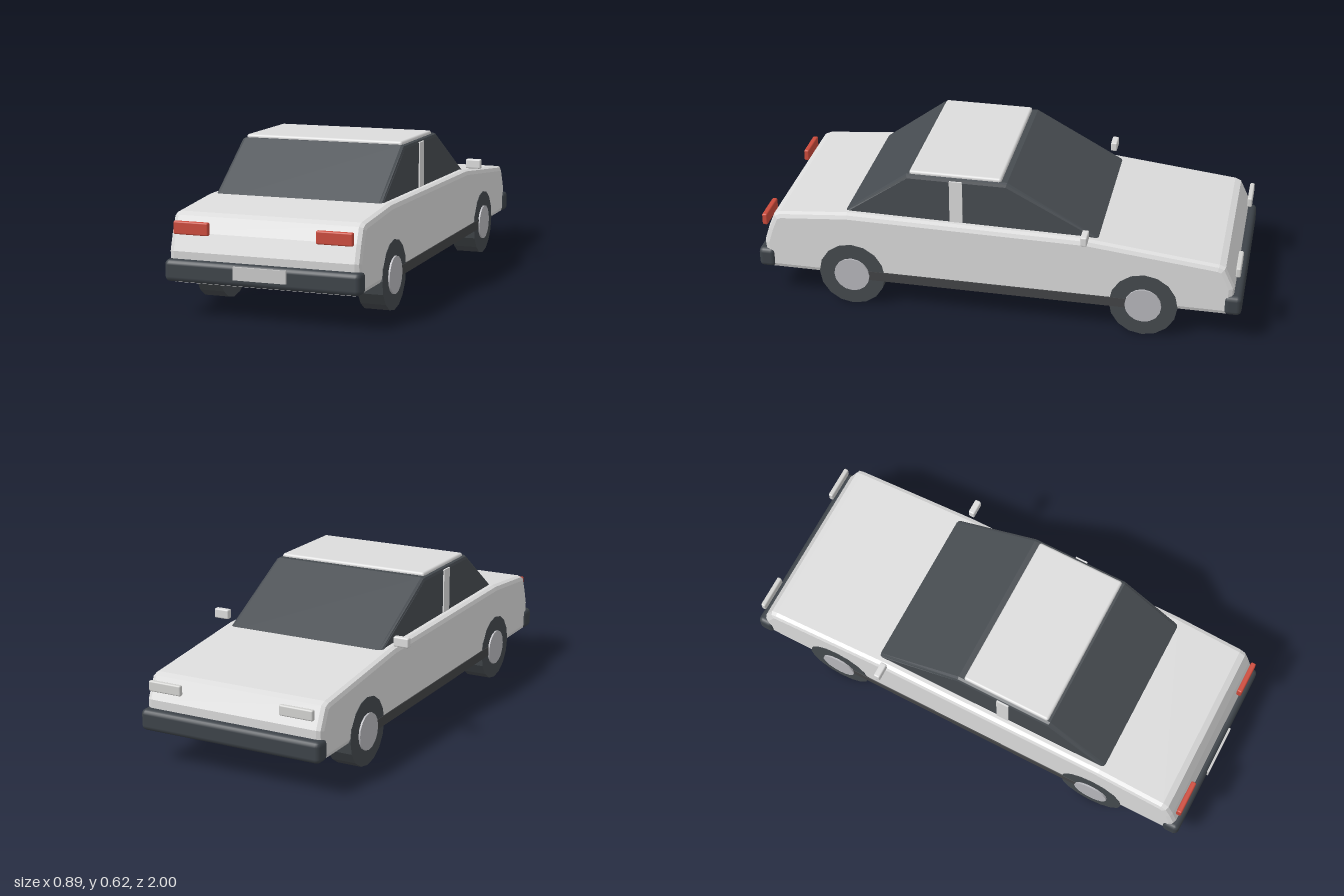
import * as THREE from 'three';
import { RoundedBoxGeometry } from 'three/addons/geometries/RoundedBoxGeometry.js';

const mat = (name, color, flatShading = false) => {
  const m = new THREE.MeshStandardMaterial({ color });
  m.name = name;
  m.flatShading = flatShading;
  return m;
};

// Side profile of [z, y] points, extruded across x to +-halfWidth with bevelled edges
function sideExtrude(points, halfWidth, bevel) {
  const shape = new THREE.Shape(points.map(([z, y]) => new THREE.Vector2(z, y)));
  const depth = 2 * (halfWidth - bevel);
  const geo = new THREE.ExtrudeGeometry(shape, {
    depth, bevelEnabled: true, bevelSize: bevel, bevelThickness: bevel,
    bevelOffset: -bevel, bevelSegments: 2,
  });
  geo.translate(0, 0, -depth / 2);
  geo.rotateY(-Math.PI / 2);
  return geo;
}

export function createModel() {
  const car = new THREE.Group();
  car.name = 'car';

  const paint = mat('paint', 0xdcdcdc);
  const glass = mat('glass', 0x474c51);
  const trim = mat('bumperTrim', 0x3d4349);
  const rubber = mat('tyreRubber', 0x454a4e, true);
  const underside = mat('underside', 0x434446);
  const hubMetal = mat('hubMetal', 0xb8b8bd);
  const tailRed = mat('tailRed', 0xcc4b3c);
  const plateGrey = mat('plateGrey', 0xc9c9c9);
  const lampGrey = mat('lampGrey', 0xd2d2d0);

  const add = (name, geo, material, x = 0, y = 0, z = 0) => {
    const mesh = new THREE.Mesh(geo, material);
    mesh.name = name;
    mesh.position.set(x, y, z);
    car.add(mesh);
    return mesh;
  };
  const rounded = (w, h, d, r) => new RoundedBoxGeometry(w, h, d, 2, r);

  // Lower body: the tail is toward +z, the bonnet toward -z
  add('body', sideExtrude([
    [0.955, 0.13], [0.967, 0.25], [0.945, 0.32], [0.92, 0.38], [0.895, 0.392],
    [0.61, 0.417], [-0.37, 0.407], [-0.9, 0.35], [-0.925, 0.34],
    [-0.965, 0.255], [-0.96, 0.13],
  ], 0.384, 0.022), paint);
  add('floorAndSills', new THREE.BoxGeometry(0.776, 0.04, 1.2), underside, 0, 0.141, 0);

  // Cabin
  add('cabinGlass', sideExtrude([
    [0.655, 0.39], [0.365, 0.606], [-0.045, 0.606], [-0.437, 0.39],
  ], 0.346, 0.015), glass);
  add('roof', rounded(0.664, 0.024, 0.376, 0.01), paint, 0, 0.607, 0.167);

  // Bumpers and number plate
  add('rearBumper', rounded(0.786, 0.085, 0.07, 0.02), trim, 0, 0.178, 0.957);
  add('frontBumper', rounded(0.786, 0.085, 0.07, 0.02), trim, 0, 0.178, -0.963);
  add('numberPlate', new THREE.BoxGeometry(0.212, 0.05, 0.009), plateGrey, 0, 0.188, 0.9945);

  // Wheel parts shared by all four corners
  const tyreGeo = new THREE.CylinderGeometry(0.138, 0.138, 0.102, 16).rotateZ(Math.PI / 2);
  const hubGeo = new THREE.CylinderGeometry(0.074, 0.074, 0.03, 16).rotateZ(Math.PI / 2);

  for (const [sideName, s] of [['left', 1], ['right', -1]]) {
    for (const [endName, z] of [['Rear', 0.595], ['Front', -0.608]]) {
      add(`${sideName}${endName}Tyre`, tyreGeo, rubber, s * 0.335, 0.14, z);
      add(`${sideName}${endName}Hub`, hubGeo, hubMetal, s * 0.378, 0.14, z);
    }
    add(`${sideName}Pillar`, new THREE.BoxGeometry(0.02, 0.182, 0.053), paint, s * 0.341, 0.505, 0.161);
    add(`${sideName}TailLight`, rounded(0.143, 0.05, 0.022, 0.006), tailRed, s * 0.287, 0.341, 0.966);
    add(`${sideName}Headlight`, rounded(0.143, 0.042, 0.02, 0.006), lampGrey, s * 0.287, 0.316, -0.974);
    add(`${sideName}Mirror`, rounded(0.066, 0.04, 0.027, 0.006), paint, s * 0.411, 0.436, -0.37);
  }

  return car;
}
